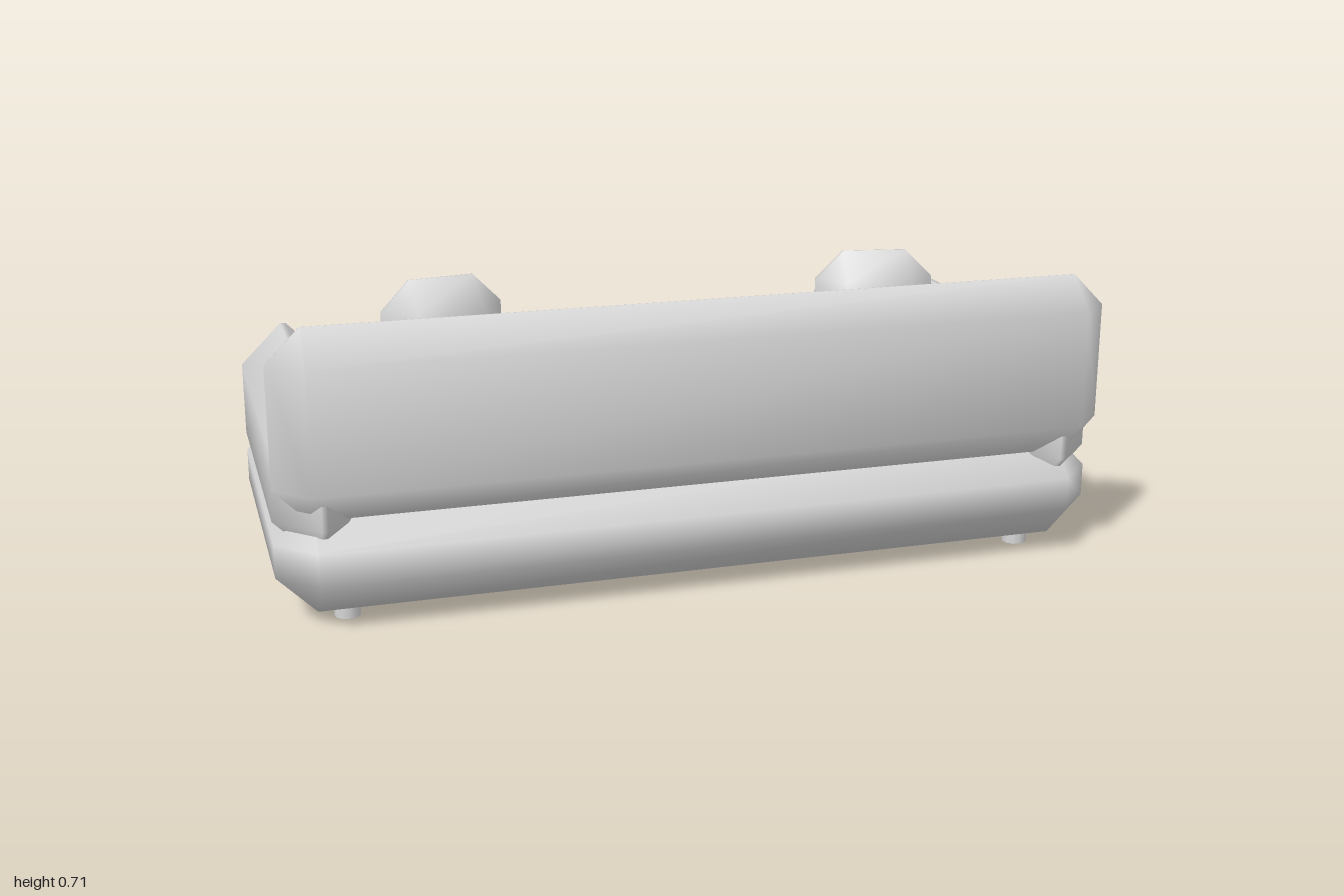
import * as THREE from 'three';

// Box with every edge and corner cut at 45 degrees, sharing vertices for soft shading
function chamferBox(w, h, d, c) {
  const half = [w / 2, h / 2, d / 2];
  const points = [], index = [];
  // corner signs s, and the axis whose face the vertex lies on
  const id = (s, axis) => ((s[0] > 0 ? 4 : 0) + (s[1] > 0 ? 2 : 0) + (s[2] > 0 ? 1 : 0)) * 3 + axis;
  const signs = [-1, 1];
  for (const x of signs) for (const y of signs) for (const z of signs) {
    for (let axis = 0; axis < 3; axis++) {
      [x, y, z].forEach((s, i) => points.push(s * (i === axis ? half[i] : half[i] - c)));
    }
  }
  // Adds a convex polygon, wound so that it faces away from the centre
  const vertex = (i) => new THREE.Vector3().fromArray(points, i * 3);
  const addFace = (loop) => {
    const [a, b, e] = loop.slice(0, 3).map(vertex);
    const normal = b.clone().sub(a).cross(e.clone().sub(a));
    const mid = loop.reduce((sum, i) => sum.add(vertex(i)), new THREE.Vector3());
    if (normal.dot(mid) < 0) loop.reverse();
    for (let i = 1; i < loop.length - 1; i++) index.push(loop[0], loop[i], loop[i + 1]);
  };
  for (let a = 0; a < 3; a++) {
    const b = (a + 1) % 3, e = (a + 2) % 3;
    const at = (sa, sb, se) => { const s = []; s[a] = sa; s[b] = sb; s[e] = se; return s; };
    for (const p of signs) {
      // flat side
      addFace([[-1, -1], [1, -1], [1, 1], [-1, 1]].map(([u, v]) => id(at(p, u, v), a)));
      // edge strips running along axis e
      for (const q of signs) {
        addFace([id(at(p, q, -1), a), id(at(p, q, 1), a), id(at(p, q, 1), b), id(at(p, q, -1), b)]);
      }
    }
  }
  // corner triangles
  for (const x of signs) for (const y of signs) for (const z of signs) {
    addFace([0, 1, 2].map((axis) => id([x, y, z], axis)));
  }
  const geometry = new THREE.BufferGeometry();
  geometry.setAttribute('position', new THREE.Float32BufferAttribute(points, 3));
  geometry.setIndex(index);
  geometry.computeVertexNormals();
  return geometry;
}

export function createModel() {
  const sofa = new THREE.Group();
  sofa.name = 'sofa';
  const fabric = new THREE.MeshStandardMaterial({ color: 0xd6d6d6 });
  fabric.name = 'light grey';

  const add = (name, geometry, x, y, z) => {
    const mesh = new THREE.Mesh(geometry, fabric);
    mesh.name = name;
    mesh.position.set(x, y, z);
    sofa.add(mesh);
    return mesh;
  };

  // Base and backrest
  add('base', chamferBox(2, 0.26, 0.9, 0.09), 0, 0.16, -0.015);
  add('backrest', chamferBox(2, 0.44, 0.16, 0.079), 0, 0.48, 0.385);

  // Mirrored parts
  const arm = chamferBox(0.214, 0.38, 0.9, 0.1);
  const cushion = chamferBox(0.85, 0.18, 0.678, 0.089);
  const pillow = chamferBox(0.3, 0.28, 0.144, 0.07);
  const leg = new THREE.CylinderGeometry(0.03, 0.03, 0.05, 12);
  for (const side of [-1, 1]) {
    const label = side > 0 ? 'left' : 'right';
    add(label + 'Arm', arm, side * 0.893, 0.34, -0.015);
    add(label + 'SeatCushion', cushion, side * 0.445, 0.35, -0.118);
    add(label + 'Pillow', pillow, side * 0.553, 0.57, 0.025).rotation.y = -side * 0.17;
    add(label + 'BackLeg', leg, side * 0.84, 0.025, 0.305);
    add(label + 'FrontLeg', leg, side * 0.84, 0.025, -0.335);
  }
  return sofa;
}
